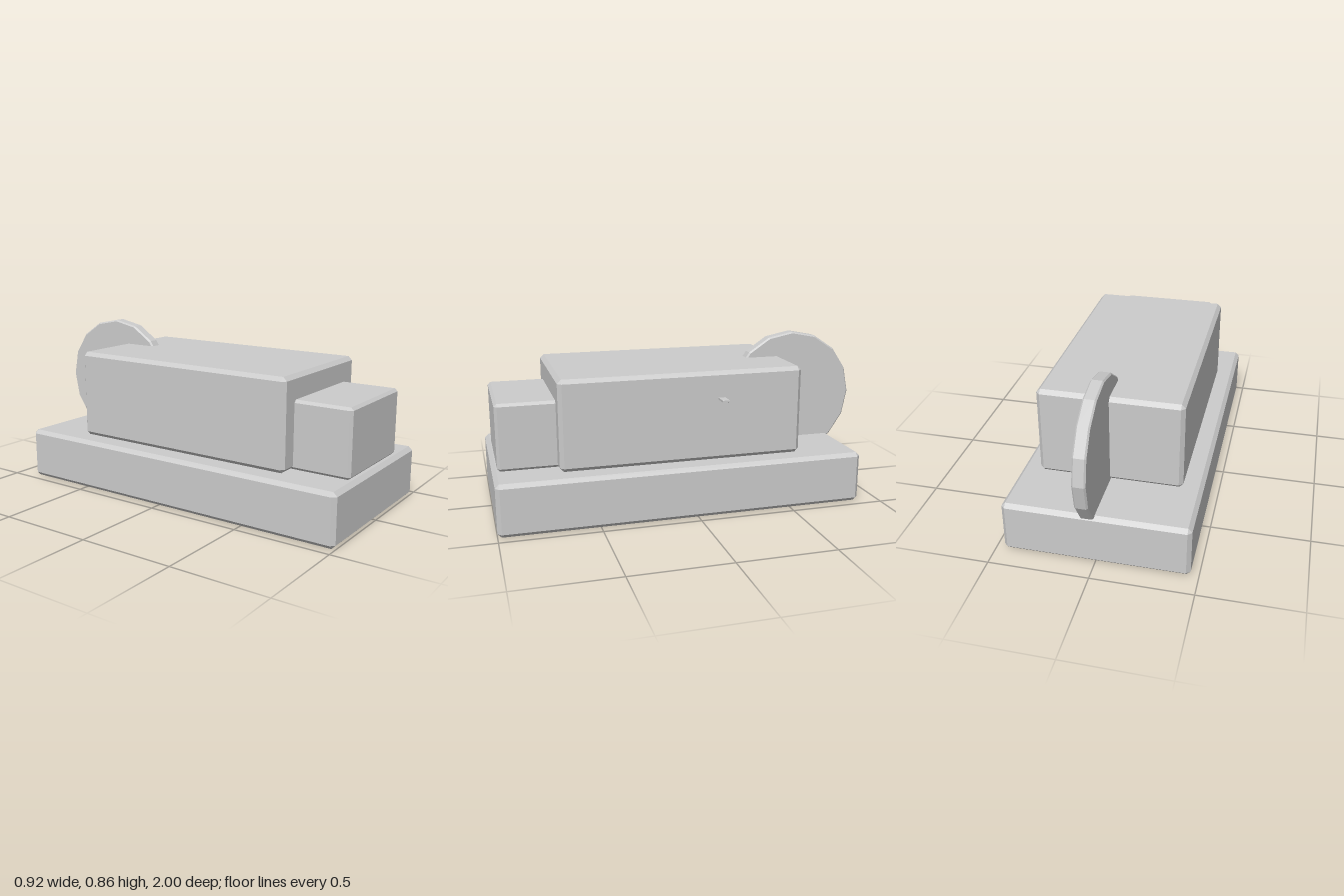
import * as THREE from 'three';
import { ConvexGeometry } from 'three/addons/geometries/ConvexGeometry.js';

const material = new THREE.MeshStandardMaterial({ color: 0xcccccc, flatShading: true });

// Box between two corners with every edge chamfered by c.
function chamferBox(name, min, max, c) {
  const half = max.map((m, i) => (m - min[i]) / 2);
  const points = [];
  for (const sx of [-1, 1]) for (const sy of [-1, 1]) for (const sz of [-1, 1]) {
    for (let axis = 0; axis < 3; axis++) {
      // one point per face meeting at this corner
      const [x, y, z] = half.map((h, i) => (i === axis ? h : h - c));
      points.push(new THREE.Vector3(sx * x, sy * y, sz * z));
    }
  }
  const mesh = new THREE.Mesh(new ConvexGeometry(points), material);
  mesh.position.set(...max.map((m, i) => (m + min[i]) / 2));
  mesh.name = name;
  return mesh;
}

// Sixteen-sided disc with chamfered rims, its axis along x.
function chamferDisc(name, radius, thickness, c) {
  const h = thickness / 2;
  const profile = [[0, -h], [radius - c, -h], [radius, c - h], [radius, h - c], [radius - c, h], [0, h]]
    .map(([r, y]) => new THREE.Vector2(r, y));
  const mesh = new THREE.Mesh(new THREE.LatheGeometry(profile, 16).rotateZ(Math.PI / 2), material);
  mesh.name = name;
  return mesh;
}

export function createModel() {
  const model = new THREE.Group();
  model.name = 'model';

  // Stacked blocks
  model.add(chamferBox('base', [-0.46, 0, -0.89], [0.46, 0.268, 1], 0.02));
  model.add(chamferBox('body', [-0.363, 0.268, -0.58], [0.363, 0.73, 0.68], 0.02));
  model.add(chamferBox('frontBlock', [-0.267, 0.268, 0.6], [0.267, 0.61, 0.975], 0.014));

  // Upright disc sunk into the rear of the body and the base
  const disc = chamferDisc('rearDisc', 0.35, 0.066, 0.008);
  disc.position.set(0.033, 0.51, -0.65);
  model.add(disc);

  // Thin tab on the left side
  model.add(chamferBox('sideTab', [0.34, 0.585, -0.163], [0.43, 0.595, -0.126], 0.0005));

  return model;
}
